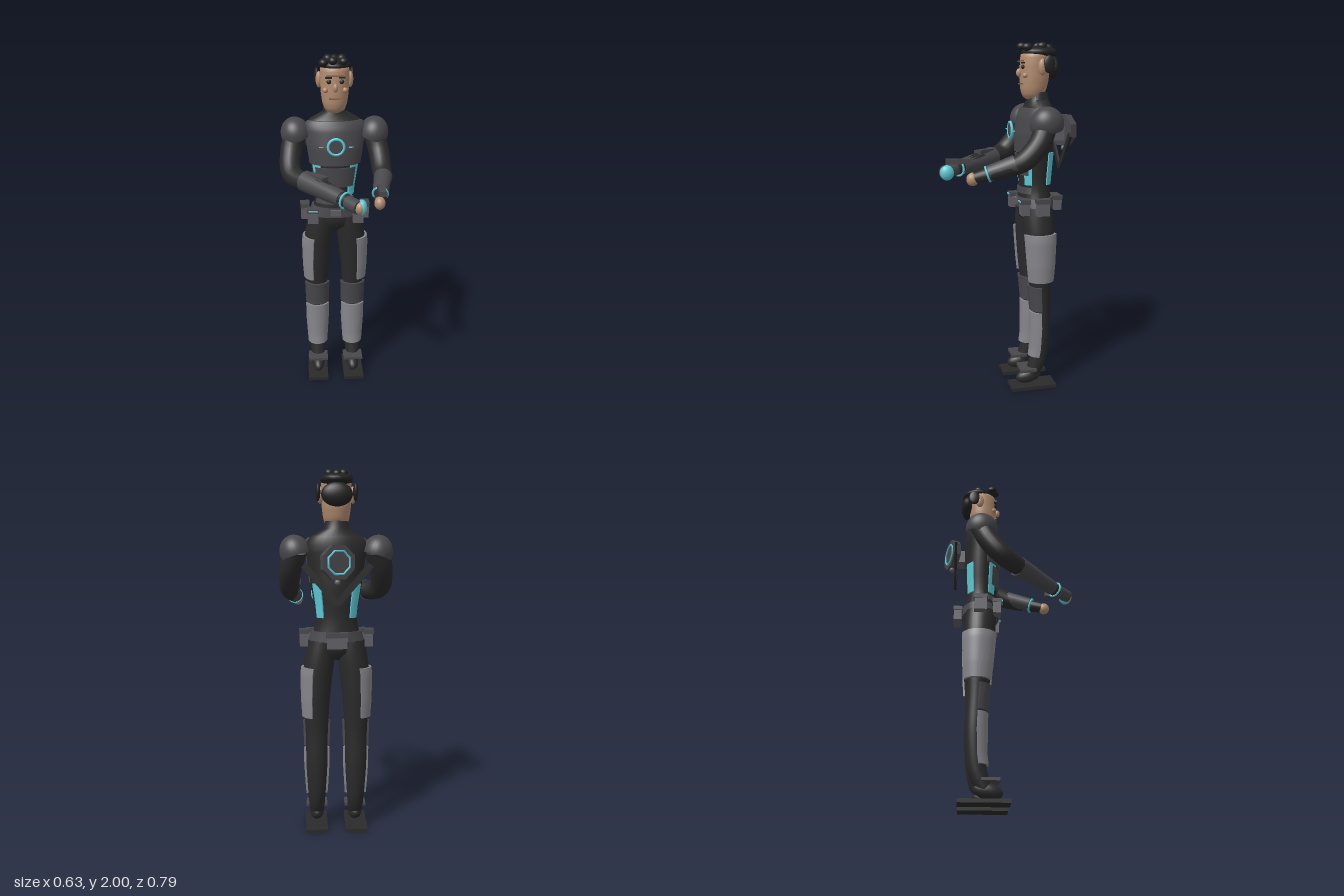
import * as THREE from 'three';
import { toCreasedNormals } from 'three/addons/utils/BufferGeometryUtils.js';

const mat = (name, color, side = THREE.FrontSide) => {
  const m = new THREE.MeshStandardMaterial({ color, side });
  m.name = name;
  return m;
};
const V = (x, y, z) => new THREE.Vector3(x, y, z);

export function createModel() {
  const root = new THREE.Group();
  root.name = 'armouredFigure';
  const suit = mat('suitBlack', 0x2a2a2a);
  const hair = mat('hairBlack', 0x212122);
  const plate = mat('plateGrey', 0x48484c, THREE.DoubleSide);
  const pouchGrey = mat('pouchGrey', 0x5f5f64);
  const light = mat('lightGrey', 0x86868b);
  const skin = mat('skin', 0xb18b6e);
  const lip = mat('lipBrown', 0x82604c);
  const teal = mat('glowTeal', 0x5ccbd8);

  const add = (name, geo, material, pos = [0, 0, 0], rot = [0, 0, 0]) => {
    const m = new THREE.Mesh(geo, material);
    m.name = name;
    m.position.set(...pos);
    m.rotation.set(...rot);
    root.add(m);
    return m;
  };
  const box = (name, m, size, pos, rot) => add(name, new THREE.BoxGeometry(...size), m, pos, rot);
  const ball = (name, m, r, pos, rot) =>
    add(name, new THREE.SphereGeometry(1, 20, 14).scale(...r), m, pos, rot);

  // Elliptical section [y, rx, rz, cx, cz] interpolated at a height
  const sectionAt = (prof, y) => {
    let i = 0;
    while (i < prof.length - 2 && y > prof[i + 1][0]) i++;
    const a = prof[i], b = prof[i + 1];
    const k = THREE.MathUtils.clamp((y - a[0]) / (b[0] - a[0]), 0, 1);
    return a.map((v, j) => v + (b[j] - v) * k);
  };
  // Skin of a profile between two heights and angles (0 = front, 90 = +x);
  // a raised one gets rims reaching back to the profile
  const loft = (name, prof, m, y0, y1, a0 = -180, a1 = 180, off = 0) => {
    const nr = 18, nc = 28, pos = [], idx = [], whole = a1 - a0 === 360;
    const rows = [], cols = [];
    for (let i = 0; i <= nr; i++) rows.push([i / nr, 1]);
    for (let j = 0; j <= nc; j++) cols.push([j / nc, 1]);
    if (off) { rows.unshift([0, 0]); rows.push([1, 0]); }
    if (off && !whole) { cols.unshift([0, 0]); cols.push([1, 0]); }
    for (const [u, e] of rows) {
      const y = y0 + (y1 - y0) * u;
      const [, rx, rz, cx, cz] = sectionAt(prof, y);
      for (const [v, f] of cols) {
        const t = THREE.MathUtils.degToRad(a0 + (a1 - a0) * v), o = off * e * f;
        pos.push(cx + (rx + o) * Math.sin(t), y, cz + (rz + o) * Math.cos(t));
      }
    }
    const w = cols.length;
    for (let i = 0; i < rows.length - 1; i++) for (let j = 0; j < w - 1; j++) {
      const a = i * w + j;
      idx.push(a, a + 1, a + w + 1, a, a + w + 1, a + w);
    }
    const g = new THREE.BufferGeometry();
    g.setAttribute('position', new THREE.Float32BufferAttribute(pos, 3));
    g.setIndex(idx);
    return add(name, toCreasedNormals(g, 0.8), m);
  };
  // Tapered round limb along a curve
  const limb = (name, m, pts, radii) => {
    const c = new THREE.CatmullRomCurve3(pts.map(p => V(...p)));
    const n = 28, g = new THREE.TubeGeometry(c, n, 1, 18);
    const p = g.attributes.position, nor = g.attributes.normal;
    for (let i = 0; i < p.count; i++) {
      const u = Math.floor(i / 19) / n, s = c.getUtoTmapping(u) * (radii.length - 1);
      const k = Math.min(Math.floor(s), radii.length - 2);
      const r = radii[k] + (radii[k + 1] - radii[k]) * (s - k), q = c.getPointAt(u);
      p.setXYZ(i, q.x + nor.getX(i) * r, q.y + nor.getY(i) * r, q.z + nor.getZ(i) * r);
    }
    return add(name, g, m);
  };
  // Straight tapered sleeve and ring aimed along a line
  const sleeve = (name, m, a, b, ra, rb) => {
    const A = V(...a), B = V(...b), d = B.clone().sub(A);
    const s = add(name, new THREE.CylinderGeometry(rb, ra, d.length(), 20), m,
      A.clone().add(B).multiplyScalar(0.5).toArray());
    s.quaternion.setFromUnitVectors(V(0, 1, 0), d.normalize());
  };
  const band = (name, m, at, dir, r) => {
    const s = add(name, new THREE.TorusGeometry(r, 0.006, 8, 28), m, at);
    s.quaternion.setFromUnitVectors(V(0, 0, 1), V(...dir).normalize());
  };

  // Torso and neck
  const torso = [[0.98, 0.03, 0.04, 0, -0.17], [1.02, 0.12, 0.085, 0, -0.17], [1.08, 0.145, 0.095, 0, -0.17],
    [1.14, 0.125, 0.093, 0, -0.17], [1.2, 0.112, 0.087, 0, -0.17], [1.28, 0.12, 0.093, 0, -0.17],
    [1.38, 0.137, 0.1, 0, -0.17], [1.5, 0.155, 0.1, 0, -0.17], [1.6, 0.17, 0.092, 0, -0.18],
    [1.64, 0.16, 0.08, 0, -0.185], [1.665, 0.1, 0.07, 0, -0.187], [1.685, 0.068, 0.063, 0, -0.187],
    [1.73, 0.06, 0.058, 0, -0.185]];
  loft('torso', torso, suit, 0.98, 1.73);
  loft('chestPlate', torso, plate, 1.4, 1.645, -72, 72, 0.014);
  loft('abdomenPlate', torso, plate, 1.27, 1.385, -52, 52, 0.01);
  loft('waistPlate', torso, plate, 1.165, 1.2, -62, 62, 0.008);
  for (const a of [50, 130, -50, -130])
    loft('sideGlowStrip', torso, teal, 1.215, 1.4, a - 13, a + 13, 0.008);

  // Floating chest emblem: disc, ring and side dashes
  add('emblemDisc', new THREE.CylinderGeometry(0.042, 0.042, 0.008, 28), plate, [0, 1.52, -0.027], [Math.PI / 2, 0, 0]);
  add('emblemRing', new THREE.TorusGeometry(0.044, 0.008, 8, 32), teal, [0, 1.52, -0.027]);
  for (const s of [-1, 1]) box('emblemDash', teal, [0.025, 0.006, 0.006], [s * 0.083, 1.52, -0.027]);

  // Belt, buckle and pouches
  loft('belt', torso, plate, 1.085, 1.14, -180, 180, 0.012);
  box('buckle', pouchGrey, [0.06, 0.035, 0.02], [0, 1.118, -0.06]);
  const pouch = (name, size, pos) => {
    box(name, pouchGrey, size, pos);
    box(name + 'Flap', plate, [size[0] + 0.008, 0.025, size[2] + 0.008], [pos[0], pos[1] + size[1] / 2 - 0.008, pos[2]]);
  };
  for (const s of [-1, 1]) {
    pouch('frontPouch', [0.062, 0.085, 0.046], [s * 0.132, 1.097, -0.078]);
    box('pouchLight', teal, [0.054, 0.008, 0.008], [s * 0.132, 1.134, -0.05]);
    pouch('sidePouch', [0.046, 0.09, 0.07], [s * 0.178, 1.1, -0.172]);
  }
  pouch('backPouch', [0.11, 0.08, 0.045], [0, 1.098, -0.3]);

  // Back harness and octagonal power pack
  for (const s of [-1, 1])
    box('harnessStrap', suit, [0.27, 0.035, 0.013], [s * 0.088, 1.4, -0.322], [0, 0, s * 0.86]);
  box('packMount', pouchGrey, [0.08, 0.08, 0.07], [0.02, 1.5, -0.295]);
  const pack = new THREE.Group();
  pack.name = 'powerPack';
  pack.position.set(0, 1.515, -0.345);
  pack.rotation.set(0, 0.36, 0);
  const packPart = (name, geo, m, z) => {
    const p = new THREE.Mesh(geo, m);
    p.name = name;
    p.position.z = z;
    pack.add(p);
  };
  const octagon = r => new THREE.CylinderGeometry(r, r, 0.042, 8).rotateY(Math.PI / 8).rotateX(Math.PI / 2);
  packPart('packBody', toCreasedNormals(octagon(0.095), 0.5), plate, 0);
  packPart('packGlowRing', new THREE.TorusGeometry(0.064, 0.006, 6, 8).rotateZ(Math.PI / 8), teal, -0.022);
  root.add(pack);
  ball('packKnob', pouchGrey, [0.016, 0.016, 0.016], [0, 1.412, -0.345]);

  // Legs with armour, feet and soles
  for (const s of [-1, 1]) {
    const c = s * 0.11;
    const leg = [[0.06, 0.036, 0.035, c, -0.125], [0.1, 0.042, 0.05, c, -0.145], [0.15, 0.045, 0.05, c, -0.168],
      [0.25, 0.052, 0.052, c, -0.183], [0.38, 0.06, 0.056, c, -0.188], [0.5, 0.06, 0.055, c, -0.185],
      [0.6, 0.063, 0.06, c, -0.18], [0.75, 0.073, 0.075, c, -0.178], [0.9, 0.083, 0.085, s * 0.103, -0.175],
      [1.0, 0.083, 0.09, s * 0.09, -0.172], [1.09, 0.075, 0.085, s * 0.08, -0.17]];
    loft('leg', leg, suit, 0.06, 1.09);
    loft('thighPanel', leg, light, 0.66, 0.94, s * 90 - 72, s * 90 + 72, 0.014);
    loft('kneePlate', leg, plate, 0.485, 0.63, -82, 82, 0.013);
    loft('shinPlate', leg, light, 0.2, 0.475, -80, 80, 0.013);
    ball('foot', suit, [0.039, 0.043, 0.078], [c, 0.07, -0.115], [0.2, 0, 0]);
    box('instepGuard', plate, [0.12, 0.016, 0.095], [c, 0.121, -0.103]);
    box('sole', suit, [0.125, 0.02, 0.27], [s * 0.1125, 0.012, -0.135]);
    // Shoulder guard
    add('shoulderGuard', new THREE.SphereGeometry(1, 28, 16, 0, Math.PI * 2, 0, Math.PI * 0.58).scale(0.084, 0.095, 0.093),
      plate, [s * 0.222, 1.565, -0.175], [0.1, 0, -s * 0.3]);
  }

  // Right arm folded across the waist
  limb('rightArm', suit, [[-0.22, 1.58, -0.175], [-0.25, 1.47, -0.13], [-0.245, 1.365, -0.035], [-0.1, 1.345, 0.125], [0.05, 1.315, 0.3]],
    [0.065, 0.062, 0.058, 0.048, 0.036]);
  sleeve('rightBracer', plate, [-0.175, 1.35, 0.04], [0.015, 1.32, 0.262], 0.06, 0.043);
  box('bracerPanel', plate, [0.045, 0.025, 0.13], [-0.11, 1.39, 0.1], [0, 0.7, 0]);
  band('rightWristRing', teal, [0.033, 1.318, 0.28], [0.19, -0.03, 0.22], 0.043);
  sleeve('rightGlove', plate, [0.045, 1.315, 0.3], [0.095, 1.307, 0.365], 0.038, 0.037);
  ball('rightHand', skin, [0.03, 0.035, 0.03], [0.102, 1.305, 0.362]);
  ball('glowOrb', teal, [0.028, 0.042, 0.038], [0.111, 1.305, 0.352]);

  // Left arm reaching forward with a baton over the hand
  limb('leftArm', suit, [[0.22, 1.58, -0.175], [0.25, 1.47, -0.13], [0.26, 1.375, -0.04], [0.255, 1.335, 0.06], [0.219, 1.288, 0.22]],
    [0.065, 0.06, 0.056, 0.045, 0.03]);
  sleeve('leftBracer', plate, [0.262, 1.36, 0.005], [0.232, 1.312, 0.145], 0.052, 0.043);
  band('leftWristRing', teal, [0.23, 1.308, 0.152], [-0.03, -0.05, 0.14], 0.041);
  ball('leftHand', skin, [0.03, 0.036, 0.034], [0.219, 1.282, 0.232]);
  box('baton', plate, [0.035, 0.027, 0.132], [0.218, 1.38, 0.306]);

  // Head and face
  const head = [[1.69, 0.03, 0.03, 0, -0.15], [1.705, 0.055, 0.055, 0, -0.155], [1.74, 0.07, 0.073, 0, -0.16],
    [1.8, 0.078, 0.082, 0, -0.165], [1.88, 0.082, 0.083, 0, -0.167], [1.94, 0.08, 0.082, 0, -0.17], [1.96, 0.03, 0.03, 0, -0.17]];
  loft('head', head, skin, 1.69, 1.96);
  ball('nose', skin, [0.014, 0.024, 0.018], [0, 1.835, -0.078]);
  box('mouth', lip, [0.07, 0.007, 0.01], [0, 1.775, -0.086]);
  box('browLine', lip, [0.1, 0.007, 0.01], [0, 1.898, -0.086]);
  for (const s of [-1, 1]) {
    ball('eye', hair, [0.013, 0.012, 0.009], [s * 0.035, 1.866, -0.09]);
    box('eyebrow', hair, [0.036, 0.008, 0.014], [s * 0.037, 1.888, -0.09]);
    ball('cheek', skin, [0.015, 0.015, 0.014], [s * 0.054, 1.82, -0.098]);
    ball('ear', skin, [0.018, 0.045, 0.024], [s * 0.087, 1.865, -0.187]);
    ball('sideHair', hair, [0.013, 0.048, 0.034], [s * 0.099, 1.88, -0.222]);
  }

  // Hair cap, back mass and curls
  ball('hairCap', hair, [0.087, 0.036, 0.102], [0, 1.945, -0.192]);
  ball('backHair', hair, [0.083, 0.063, 0.036], [0, 1.865, -0.265]);
  for (const [x, y, z] of [[0, 1.97, -0.245], [-0.037, 1.978, -0.195], [0.04, 1.978, -0.197],
    [-0.064, 1.965, -0.112], [-0.014, 1.977, -0.096], [0.045, 1.972, -0.112]])
    ball('curl', hair, [0.025, 0.022, 0.029], [x, y, z]);
  return root;
}
